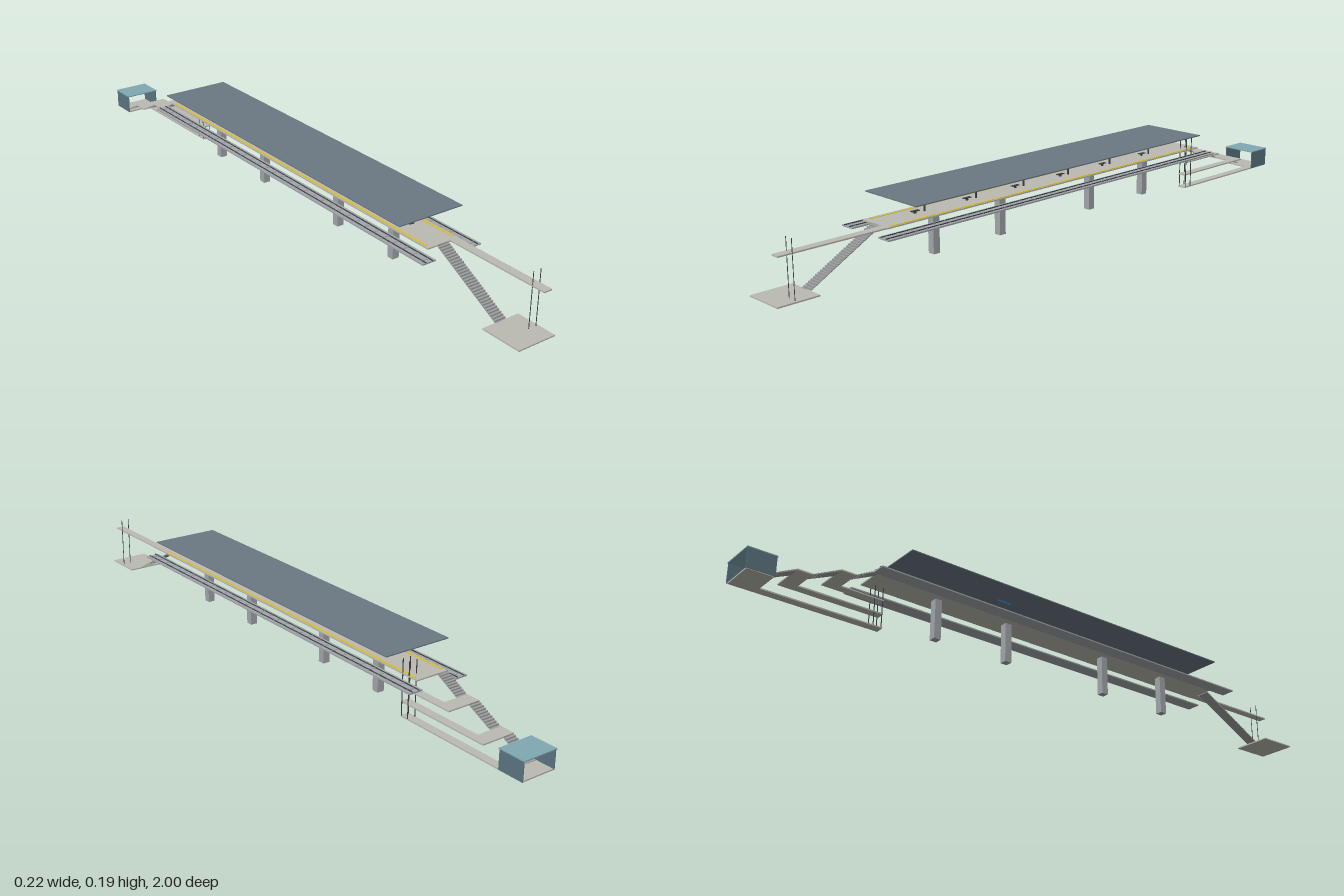
import * as THREE from 'three';

const mat = (color) => new THREE.MeshStandardMaterial({ color, flatShading: true });
const concrete = mat(0xbcbbb2), trackGrey = mat(0xa2a6aa), stairGrey = mat(0x9c9d9e), slate = mat(0x6b7882);
const dark = mat(0x3c4248), yellow = mat(0xe0c020), teal = mat(0x7fa9b2), wall = mat(0x5c7582), blue = mat(0x2f6f9f);

// Box given by its lower and upper limits on each axis
function box(parent, name, m, [x0, x1], [y0, y1], [z0, z1]) {
  const mesh = new THREE.Mesh(new THREE.BoxGeometry(x1 - x0, y1 - y0, z1 - z0), m);
  mesh.position.set((x0 + x1) / 2, (y0 + y1) / 2, (z0 + z1) / 2);
  mesh.name = name;
  parent.add(mesh);
  return mesh;
}

// Folded-plate stair flight from (yTop, zTop) to (yBottom, zBottom)
function stairs(parent, name, [x0, x1], yTop, zTop, yBottom, zBottom, steps) {
  const run = Math.abs(zBottom - zTop) / steps, rise = (yTop - yBottom) / steps;
  const shape = new THREE.Shape();
  shape.moveTo(0, yTop);
  for (let i = 0; i < steps; i++) {
    shape.lineTo(i * run, yTop - (i + 1) * rise);
    shape.lineTo((i + 1) * run, yTop - (i + 1) * rise);
  }
  shape.lineTo(steps * run, yBottom - 0.002);
  shape.lineTo(0, yTop - rise - 0.002);
  const geo = new THREE.ExtrudeGeometry(shape, { depth: x1 - x0, bevelEnabled: false });
  const mesh = new THREE.Mesh(geo, stairGrey);
  // The shape runs along +z or -z
  const forward = zBottom > zTop;
  mesh.rotation.y = forward ? -Math.PI / 2 : Math.PI / 2;
  mesh.position.set(forward ? x1 : x0, 0, zTop);
  mesh.name = name;
  parent.add(mesh);
}

export function createModel() {
  const station = new THREE.Group();
  station.name = 'elevatedStation';

  // Platform with yellow safety strips
  box(station, 'platform', concrete, [-0.053, 0.053], [0.124, 0.128], [-0.615, 0.655]);
  for (const s of [-1, 1]) {
    box(station, 'safetyStrip', yellow, [s * 0.046 - 0.003, s * 0.046 + 0.003], [0.1275, 0.129], [-0.6, 0.64]);
  }

  // Supporting piers
  for (const z of [0.46, 0.215, -0.155, -0.4]) {
    box(station, 'pier', trackGrey, [-0.011, 0.011], [0.003, 0.124], [z - 0.011, z + 0.011]);
  }

  // Tracks on both sides: deck, rails and sleepers
  for (const s of [-1, 1]) {
    const track = new THREE.Group();
    track.name = 'track';
    const c = s * 0.078;
    box(track, 'trackDeck', trackGrey, [c - 0.022, c + 0.022], [0.108, 0.112], [-0.64, 0.69]);
    for (const r of [-0.011, 0.011]) {
      box(track, 'rail', dark, [c + r - 0.001, c + r + 0.001], [0.112, 0.1145], [-0.64, 0.69]);
    }
    for (let i = 0; i < 34; i++) {
      const z = -0.62 + i * 0.0392;
      box(track, 'sleeper', stairGrey, [c - 0.016, c + 0.016], [0.112, 0.113], [z - 0.003, z + 0.003]);
    }
    station.add(track);
  }

  // Canopy on a central row of posts, with a bench beside each post
  box(station, 'canopyRoof', slate, [-0.108, 0.108], [0.184, 0.187], [-0.555, 0.605]);
  for (let i = 0; i < 6; i++) {
    const z = 0.49 - i * 0.184;
    box(station, 'canopyPost', dark, [-0.002, 0.002], [0.128, 0.184], [z - 0.002, z + 0.002]);
    box(station, 'benchSeat', dark, [-0.005, 0.005], [0.1345, 0.1365], [z + 0.02, z + 0.046]);
    box(station, 'benchLeg', dark, [-0.002, 0.002], [0.128, 0.1345], [z + 0.03, z + 0.036]);
  }
  for (const s of [-1, 1]) {
    box(station, 'hangingSign', blue, [s * 0.039 - 0.0006, s * 0.039 + 0.0006], [0.169, 0.174], [-0.215, -0.17]);
  }

  // Front entrance: ground slab, stairs, lift walkway and lift posts
  box(station, 'frontGroundSlab', concrete, [-0.062, 0.06], [0, 0.004], [0.875, 1]);
  stairs(station, 'frontStairs', [-0.019, 0.018], 0.128, 0.655, 0.004, 0.88, 30);
  box(station, 'frontLiftWalkway', concrete, [0.025, 0.051], [0.124, 0.128], [0.655, 0.985]);
  for (const x of [0.027, 0.052]) {
    box(station, 'frontLiftPost', dark, [x - 0.001, x + 0.001], [0.004, 0.165], [0.9435, 0.9445]);
  }

  // Rear entrance: three flights, each landing reaching back to the lift
  const flights = [[0.128, -0.615, 0.087, -0.69], [0.087, -0.735, 0.046, -0.815], [0.046, -0.86, 0.005, -0.94]];
  for (const f of flights) stairs(station, 'rearStairs', [-0.055, -0.02], ...f, 10);
  for (const [y, z0, z1] of [[0.087, -0.735, -0.69], [0.046, -0.86, -0.815], [0.004, -0.995, -0.92]]) {
    box(station, 'rearLanding', concrete, [-0.055, 0.051], [y - 0.004, y], [z0, z1]);
    box(station, 'rearLiftWalkway', concrete, [0.025, 0.051], [y - 0.004, y], [z1, -0.555]);
  }
  for (const x of [0.027, 0.052]) {
    for (const z of [-0.558, -0.583]) {
      box(station, 'rearLiftPost', dark, [x - 0.001, x + 0.001], [0.004, 0.169], [z - 0.001, z + 0.001]);
    }
  }

  // Rear entrance shelter, open at both ends
  box(station, 'shelterRoof', teal, [-0.058, 0.054], [0.058, 0.061], [-1, -0.915]);
  for (const x of [-0.056, 0.052]) {
    box(station, 'shelterWall', wall, [x - 0.001, x + 0.001], [0.002, 0.058], [-0.998, -0.917]);
  }

  return station;
}
